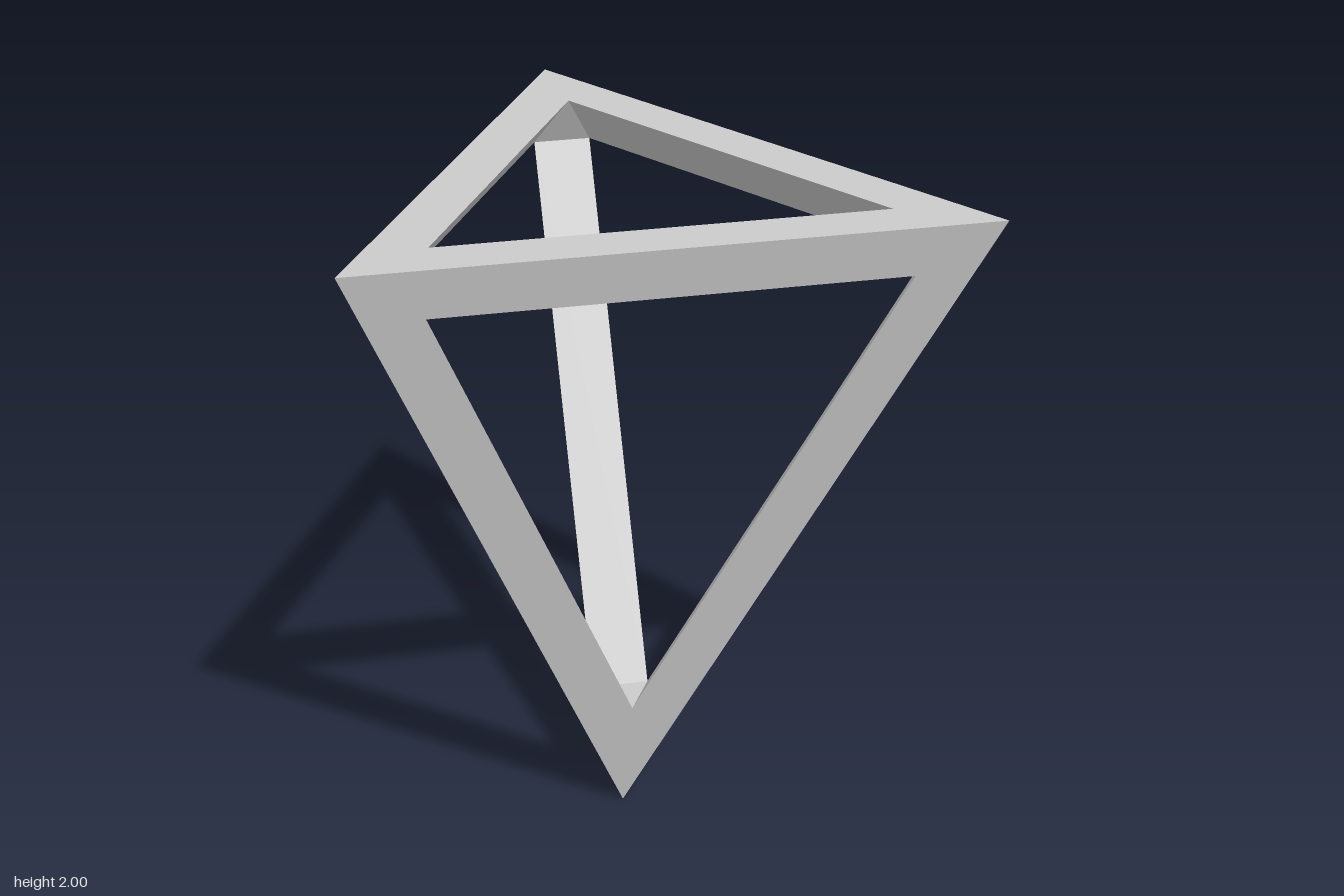
import * as THREE from 'three';

const WIDTH = 0.157; // width of every bar on each outer face
const R = 1.05; // radius of the top triangle

// Corners of the pyramid: three on top, the tip at the bottom
const corners = [
  new THREE.Vector3(-R * 0.75, 2, 0),
  new THREE.Vector3(R * 0.75, 2, R * Math.sqrt(3) / 2),
  new THREE.Vector3(R * 0.75, 2, -R * Math.sqrt(3) / 2),
  new THREE.Vector3(R * 0.25, 0, 0),
];
const cornerNames = ['RightCorner', 'FrontLeftCorner', 'BackLeftCorner', 'Tip'];
const centre = new THREE.Vector3(R * 0.25, 1.5, 0);

// Corner c of the opening in the face (c, a, b): the outline inset evenly by WIDTH
function inset(c, a, b) {
  const [C, A, B] = [corners[c], corners[a], corners[b]];
  const u = A.clone().sub(C).normalize();
  const v = B.clone().sub(C).normalize();
  const k = WIDTH / u.clone().cross(v).length();
  return C.clone().addScaledVector(u, k).addScaledVector(v, k);
}

// Adds a flat convex polygon, turned to face away from or towards the centre
function addPolygon(out, points, outward) {
  const n = points[1].clone().sub(points[0]).cross(points[2].clone().sub(points[0]));
  const facesOut = n.dot(points[0].clone().sub(centre)) > 0;
  const p = facesOut === outward ? points : [...points].reverse();
  for (let i = 1; i < p.length - 1; i++) {
    for (const q of [p[0], p[i], p[i + 1]]) out.push(q.x, q.y, q.z);
  }
}

function makeMesh(name, positions, material) {
  const geometry = new THREE.BufferGeometry();
  geometry.setAttribute('position', new THREE.Float32BufferAttribute(positions, 3));
  geometry.computeVertexNormals();
  const mesh = new THREE.Mesh(geometry, material);
  mesh.name = name;
  return mesh;
}

export function createModel() {
  const model = new THREE.Group();
  model.name = 'pyramidFrame';
  const material = new THREE.MeshStandardMaterial({
    color: 0xcccccc, flatShading: true, side: THREE.DoubleSide,
  });

  // Bars: a mitred strip on each of two outer faces and one flat inner side
  for (let a = 0; a < 4; a++) {
    for (let b = a + 1; b < 4; b++) {
      const [c, d] = [0, 1, 2, 3].filter((i) => i !== a && i !== b);
      const positions = [];
      for (const e of [c, d]) {
        addPolygon(positions, [corners[a], corners[b], inset(b, a, e), inset(a, b, e)], true);
      }
      addPolygon(positions, [inset(a, b, c), inset(b, a, c), inset(b, a, d), inset(a, b, d)], false);
      model.add(makeMesh(`bar${cornerNames[a]}To${cornerNames[b]}`, positions, material));
    }
  }

  // Small triangle closing the inside of each corner
  for (let c = 0; c < 4; c++) {
    const [i, j, k] = [0, 1, 2, 3].filter((n) => n !== c);
    const positions = [];
    addPolygon(positions, [inset(c, i, j), inset(c, j, k), inset(c, k, i)], false);
    model.add(makeMesh(`inside${cornerNames[c]}`, positions, material));
  }
  return model;
}
